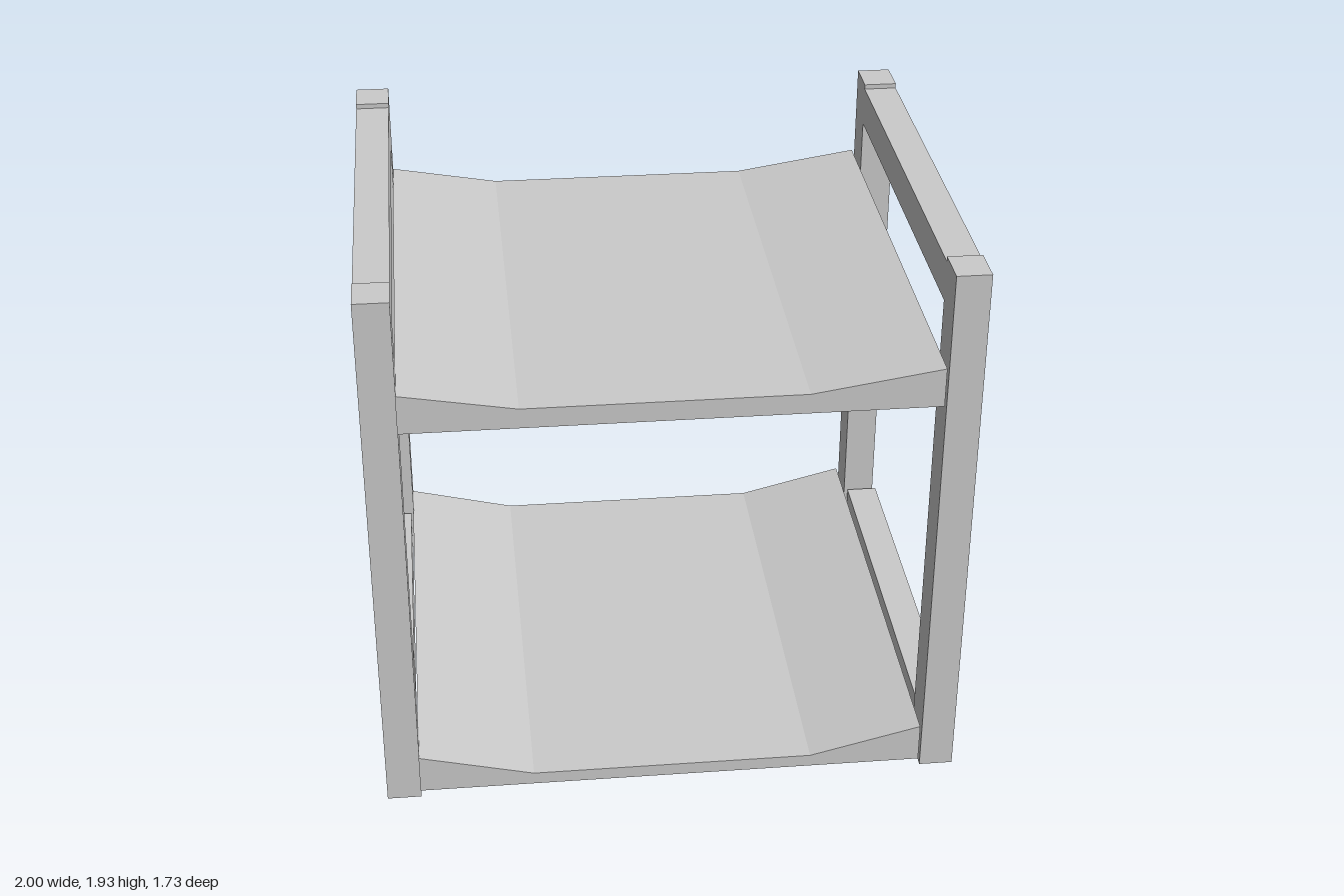
import * as THREE from 'three';

const material = new THREE.MeshStandardMaterial({ color: 0xcccccc, flatShading: true });

// Box given by its limits on each axis
function bar(name, [x0, x1], [y0, y1], [z0, z1]) {
  const mesh = new THREE.Mesh(new THREE.BoxGeometry(x1 - x0, y1 - y0, z1 - z0), material);
  mesh.position.set((x0 + x1) / 2, (y0 + y1) / 2, (z0 + z1) / 2);
  mesh.name = name;
  return mesh;
}

// Flat-bottomed shelf with raised sides, extruded front to back
function shelf(name, base, outline) {
  const shape = new THREE.Shape(outline.map(([x, y]) => new THREE.Vector2(x, y)));
  const geometry = new THREE.ExtrudeGeometry(shape, { depth: 1.728, bevelEnabled: false });
  const mesh = new THREE.Mesh(geometry, material);
  mesh.position.set(0, base, -0.865);
  mesh.name = name;
  return mesh;
}

export function createModel() {
  const group = new THREE.Group();
  group.name = 'twoTierStand';

  const sides = [
    { name: 'right', post: [-1, -0.883], lowerRail: [-1, -0.893] },
    { name: 'left', post: [0.875, 0.991], lowerRail: [0.885, 1] },
  ];
  for (const { name, post, lowerRail } of sides) {
    // Side frame: two posts joined by an upper and a lower rail
    const frame = new THREE.Group();
    frame.name = name + 'Frame';
    frame.add(
      bar('frontPost', post, [0, 1.935], [0.718, 0.858]),
      bar('backPost', post, [0, 1.935], [-0.856, -0.715]),
      bar('upperRail', post, [1.78, 1.918], [-0.715, 0.718]),
      bar('lowerRail', lowerRail, [0.033, 0.172], [-0.697, 0.738]),
    );
    group.add(frame);
  }

  group.add(
    shelf('upperShelf', 1.47, [
      [-0.885, 0], [0.867, 0], [0.867, 0.138], [0.43, 0.07], [-0.5, 0.07], [-0.885, 0.138],
    ]),
    shelf('lowerShelf', 0.03, [
      [-0.885, 0], [0.867, 0], [0.867, 0.142], [0.48, 0.045], [-0.49, 0.045], [-0.885, 0.142],
    ]),
  );
  return group;
}
